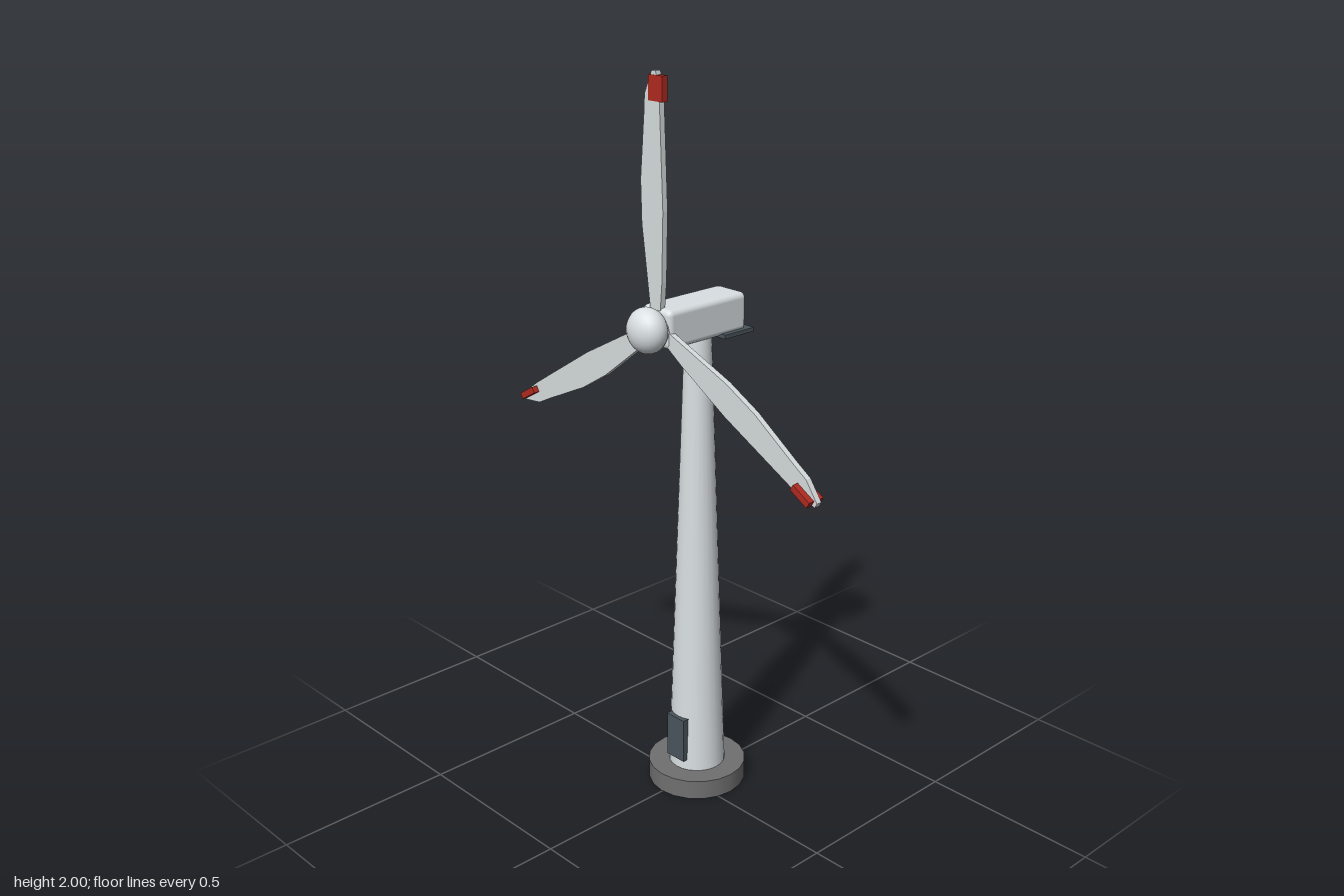
import * as THREE from 'three';
import { RoundedBoxGeometry } from 'three/addons/geometries/RoundedBoxGeometry.js';

const paint = (color) => new THREE.MeshStandardMaterial({ color });
const shell = paint(0xd9dfe2);
const bladeWhite = paint(0xd6dcdc);
const concrete = paint(0x707070);
const slate = paint(0x4a555c);
const red = paint(0xb02a20);

const AXIS_X = -0.003, TOWER_Z = -0.042, HUB_Y = 1.36, ROTOR_Z = 0.096;

function part(name, geometry, material, x, y, z, parent) {
  const mesh = new THREE.Mesh(geometry, material);
  mesh.name = name;
  mesh.position.set(x, y, z);
  parent.add(mesh);
  return mesh;
}

// Flat blade outline, root at the hub axis and tip along +y
function bladeGeometry() {
  const outline = [
    [0.015, 0.04], [0.022, 0.12], [0.027, 0.3], [0.017, 0.56], [0.012, 0.6], [0.004, 0.637],
    [-0.01, 0.637], [-0.036, 0.58], [-0.039, 0.53], [-0.053, 0.37], [-0.05, 0.26], [-0.02, 0.04],
  ].map(([x, y]) => new THREE.Vector2(x, y));
  const geometry = new THREE.ExtrudeGeometry(new THREE.Shape(outline), { depth: 0.016, bevelEnabled: false });
  return geometry.translate(0, 0, -0.008);
}

export function createModel() {
  const model = new THREE.Group();
  model.name = 'windTurbine';

  // Foundation, tapered tower and entrance door
  part('foundation', new THREE.CylinderGeometry(0.137, 0.137, 0.055, 20), concrete, AXIS_X, 0.0275, TOWER_Z, model);
  part('tower', new THREE.CylinderGeometry(0.036, 0.079, 1.265, 24), shell, AXIS_X, 0.6875, TOWER_Z, model);
  part('door', new THREE.BoxGeometry(0.066, 0.13, 0.02), slate, AXIS_X, 0.15, 0.032, model);

  // Nacelle housing with its rear service plate
  part('nacelle', new RoundedBoxGeometry(0.106, 0.104, 0.275, 3, 0.016), shell, AXIS_X, 1.362, -0.03, model);
  part('servicePlate', new THREE.BoxGeometry(0.13, 0.011, 0.105), slate, AXIS_X, 1.312, -0.129, model);

  // Rotor: collar, flattened nose and three blades
  const rotor = new THREE.Group();
  rotor.name = 'rotor';
  rotor.position.set(AXIS_X, HUB_Y, ROTOR_Z);
  model.add(rotor);

  const collar = part('hubCollar', new THREE.CylinderGeometry(0.048, 0.048, 0.03, 20), shell, 0, 0, 0.002, rotor);
  collar.rotation.x = Math.PI / 2;
  const nose = part('hubNose', new THREE.SphereGeometry(0.06, 24, 16), shell, 0, 0, 0.039, rotor);
  nose.scale.z = 0.78;

  const geometry = bladeGeometry();
  for (let i = 0; i < 3; i++) {
    const arm = new THREE.Group();
    arm.name = 'bladeArm' + (i + 1);
    arm.rotation.z = (i * Math.PI * 2) / 3;
    rotor.add(arm);
    part('blade', geometry, bladeWhite, 0, 0, 0, arm);
    // The cap lies flat on the upright blade and edge-on across the other two
    const [w, d] = i === 0 ? [0.05, 0.018] : [0.018, 0.05];
    part('tipCap', new THREE.BoxGeometry(w, 0.062, d), red, 0.003 * (i === 0), 0.596, 0, arm);
  }
  return model;
}
